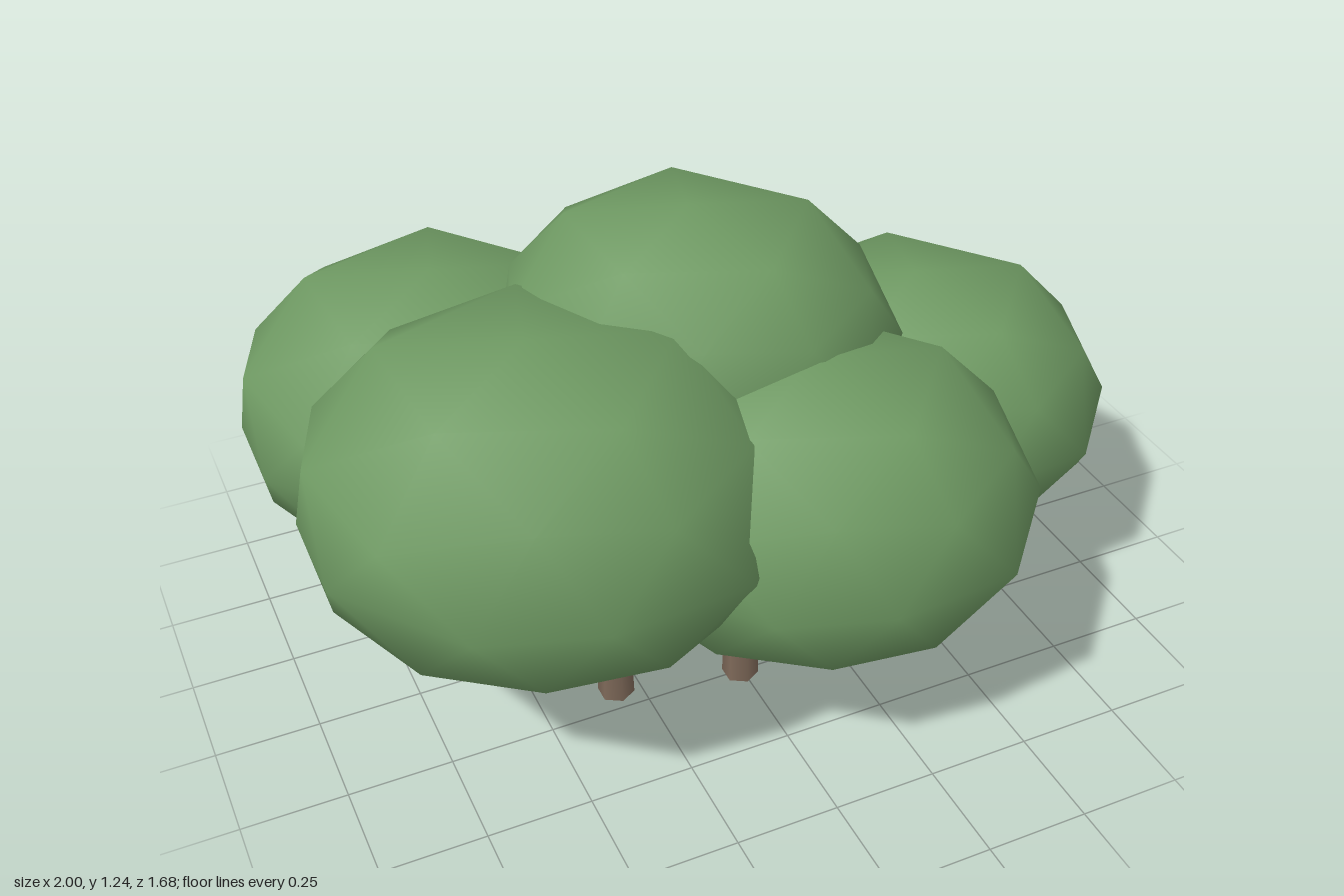
import * as THREE from 'three';
import { mergeVertices } from 'three/addons/utils/BufferGeometryUtils.js';

const leafMaterial = new THREE.MeshStandardMaterial({ color: 0x6f9a63 });
const barkMaterial = new THREE.MeshStandardMaterial({ color: 0x7d6858 });
const { degToRad, radToDeg, lerp } = THREE.MathUtils;

// Widest outline of a crown seen from above (x, z), every 36 degrees from 18
const OUTLINE = [
  [0.46, 0.2], [0.26, 0.42], [-0.02, 0.44], [-0.25, 0.365], [-0.435, 0.12],
  [-0.435, -0.09], [-0.315, -0.36], [-0.03, -0.45], [0.25, -0.32], [0.44, -0.11],
];
const HALF_HEIGHT = 0.34;

// Single uneven corners: angle, height on the unit sphere, widening, lift
const BUMPS = [
  [180, 0.526, 1.1, 0],
  [144, 0.447, 1.15, 0],
  [324, -0.85, 1, -0.1],
];

// Slightly irregular, smooth-shaded ball with one corner pointing straight up
function makeCrownGeometry() {
  const ball = new THREE.IcosahedronGeometry(1, 1);
  ball.deleteAttribute('normal');
  ball.deleteAttribute('uv');
  ball.rotateZ(Math.atan(2 / (1 + Math.sqrt(5))));
  ball.rotateY(degToRad(36));
  const geometry = mergeVertices(ball, 1e-3);
  const position = geometry.attributes.position;
  const v = new THREE.Vector3();
  const corner = new THREE.Vector3();
  for (let n = 0; n < position.count; n++) {
    v.fromBufferAttribute(position, n);
    let spread = Math.hypot(v.x, v.z);
    let y = v.y - 0.1 * (1 - v.y * v.y) ** 2;
    if (v.y > 0.8) spread *= 1.15;
    for (const [angle, height, widen, lift] of BUMPS) {
      const a = degToRad(angle);
      const r = Math.sqrt(1 - height * height);
      corner.set(r * Math.cos(a), height, r * Math.sin(a));
      if (corner.dot(v) > 0.99) {
        spread *= widen;
        y += lift;
      }
    }
    // Follow the outline around the crown
    const turn = ((radToDeg(Math.atan2(v.z, v.x)) - 18) / 36 + 20) % 10;
    const i = Math.floor(turn);
    const f = turn - i;
    const [ax, az] = OUTLINE[i];
    const [bx, bz] = OUTLINE[(i + 1) % 10];
    const k = (spread * Math.cos(degToRad((f - 0.5) * 36))) / Math.cos(degToRad(18));
    const lean = v.y ** 4;
    position.setXYZ(
      n,
      lerp(ax, bx, f) * k - 0.02 * lean,
      y * HALF_HEIGHT,
      lerp(az, bz, f) * k + 0.05 * lean,
    );
  }
  geometry.computeVertexNormals();
  return geometry;
}

// Tapered six-sided trunk standing on the ground
function trunk(name, x, z, height) {
  const geometry = new THREE.CylinderGeometry(0.026, 0.045, height, 6);
  geometry.translate(0, height / 2, 0);
  const mesh = new THREE.Mesh(geometry, barkMaterial);
  mesh.name = name;
  mesh.position.set(x, 0, z);
  return mesh;
}

export function createModel() {
  const group = new THREE.Group();
  group.name = 'treeCluster';

  // Overlapping leaf crowns: name, centre, size
  const crownGeometry = makeCrownGeometry();
  const crowns = [
    ['topCrown', -0.05, 0.907, 0.04, 0.98],
    ['frontRightCrown', -0.508, 0.762, 0.255, 1.14],
    ['backRightCrown', -0.526, 0.618, -0.35, 1.09],
    ['backCrown', 0.08, 0.652, -0.31, 0.95],
    ['leftCrown', 0.54, 0.585, 0.03, 1],
    ['frontCrown', 0.09, 0.648, 0.368, 1.066],
  ];
  for (const [name, x, y, z, size] of crowns) {
    const crown = new THREE.Mesh(crownGeometry, leafMaterial);
    crown.name = name;
    crown.position.set(x, y, z);
    crown.scale.setScalar(size);
    group.add(crown);
  }

  // Trunks: name, x, z, height
  const trunks = [
    ['leftTrunk', 0.225, 0.08, 0.55],
    ['frontTrunk', -0.005, 0.25, 0.55],
    ['backTrunk', -0.005, -0.085, 0.6],
    ['frontRightTrunk', -0.31, 0.185, 0.6],
    ['backRightTrunk', -0.31, -0.115, 0.55],
  ];
  for (const t of trunks) group.add(trunk(...t));

  return group;
}
